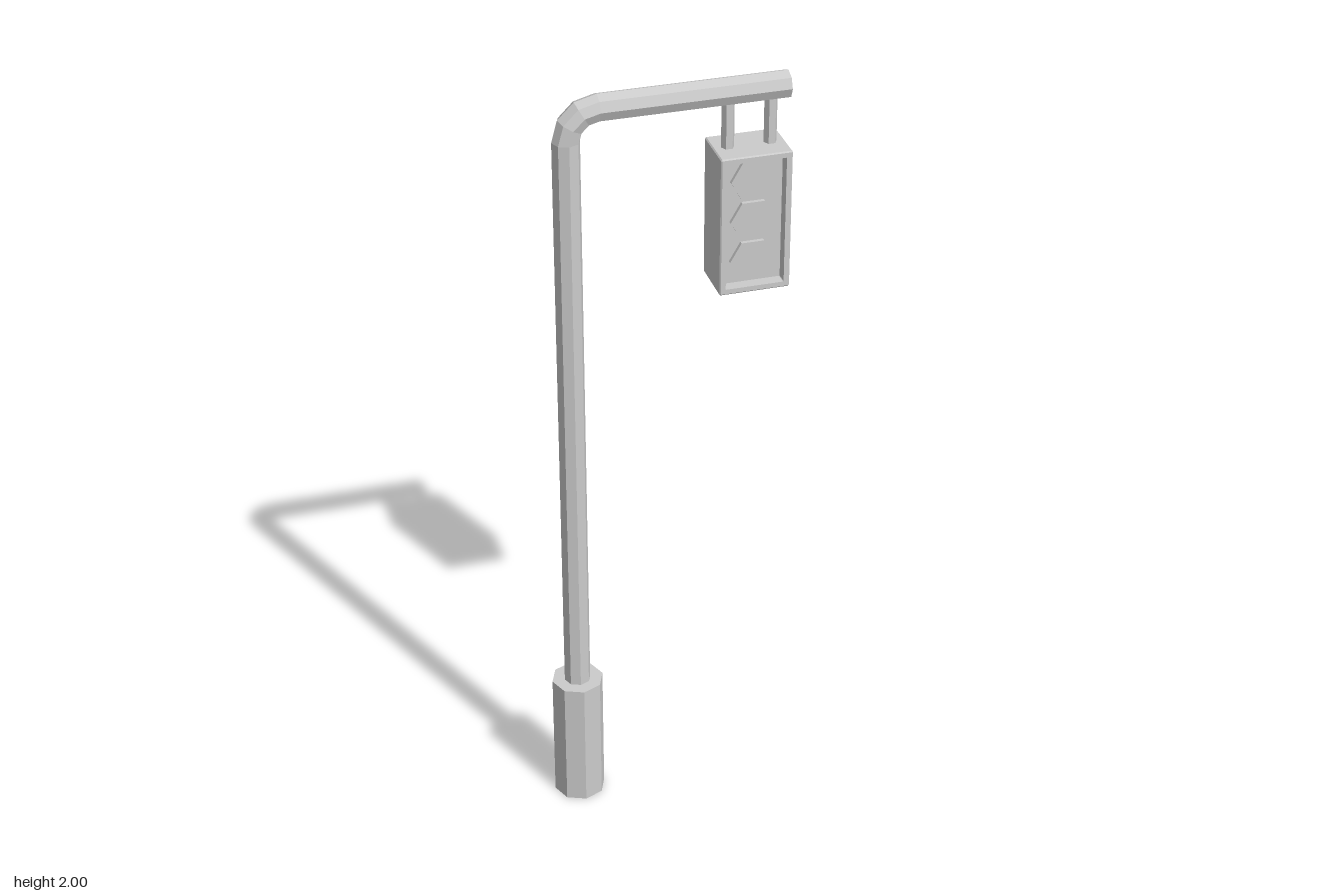
import * as THREE from 'three';

const material = new THREE.MeshStandardMaterial({ color: 0xcccccc, flatShading: true });
const openMaterial = new THREE.MeshStandardMaterial({ color: 0xcccccc, flatShading: true, side: THREE.DoubleSide });

// Skin rings of points; each ring runs counter-clockwise about the direction of travel
function loft(rings, capStart = true) {
  const pos = [];
  const tri = (...pts) => pts.forEach((p) => pos.push(p.x, p.y, p.z));
  const n = rings[0].length;
  for (let i = 0; i < rings.length - 1; i++) {
    for (let j = 0; j < n; j++) {
      const k = (j + 1) % n;
      const [a, b, c, d] = [rings[i][j], rings[i][k], rings[i + 1][k], rings[i + 1][j]];
      tri(a, b, c);
      tri(a, c, d);
    }
  }
  const first = rings[0], last = rings[rings.length - 1];
  for (let j = 1; j < n - 1; j++) {
    if (capStart) tri(first[0], first[j + 1], first[j]);
    tri(last[0], last[j], last[j + 1]);
  }
  const geometry = new THREE.BufferGeometry();
  geometry.setAttribute('position', new THREE.Float32BufferAttribute(pos, 3));
  geometry.computeVertexNormals();
  return geometry;
}

// Octagon around (x, y, 0), tipped by angle from upright towards +x
function octagon(x, y, radius, angle = 0) {
  return Array.from({ length: 8 }, (_, j) => {
    const t = (j * Math.PI) / 4;
    const u = radius * Math.cos(t);
    return new THREE.Vector3(x - u * Math.cos(angle), y + u * Math.sin(angle), radius * Math.sin(t));
  });
}

// Rectangle with cut corners at depth z
function cutRectangle(halfW, halfH, cut, z) {
  const w = halfW - cut, h = halfH - cut;
  return [[halfW, -h], [halfW, h], [w, halfH], [-w, halfH], [-halfW, h], [-halfW, -h], [-w, -halfH], [w, -halfH]]
    .map(([x, y]) => new THREE.Vector3(x, y, z));
}

export function createModel() {
  const model = new THREE.Group();
  model.name = 'trafficLight';
  const add = (name, geometry, parent = model, mat = material) => {
    const mesh = new THREE.Mesh(geometry, mat);
    mesh.name = name;
    parent.add(mesh);
    return mesh;
  };

  // Base sleeve, open underneath
  const poleX = -0.233, baseTop = 0.355;
  add('base', loft([octagon(poleX, 0, 0.067), octagon(poleX, baseTop, 0.067)], false), model, openMaterial);

  // Pole, bend and arm in one skin
  const r = 0.034, armY = 2 - r, bend = 0.075, steps = 3;
  const rings = [octagon(poleX, baseTop, r)];
  for (let i = 0; i <= steps; i++) {
    const a = (i / steps) * Math.PI / 2;
    rings.push(octagon(poleX + bend * (1 - Math.cos(a)), armY - bend * (1 - Math.sin(a)), r, a));
  }
  rings.push(octagon(0.3, armY, r, Math.PI / 2));
  add('poleAndArm', loft(rings));

  // Signal head
  const head = new THREE.Group();
  head.name = 'signalHead';
  head.position.set(0.207, 1.645, 0);
  model.add(head);

  // Housing with softened edges and a recessed front
  const W = 0.0875, H = 0.179, D = 0.065, e = 0.003, rim = 0.015;
  add('housing', loft([
    cutRectangle(W - e, H - e, 0.001, -D),
    cutRectangle(W, H, e, -D + e),
    cutRectangle(W, H, e, D - e),
    cutRectangle(W - e, H - e, 0.001, D),
    cutRectangle(W - rim, H - rim, 0.001, D),
    cutRectangle(W - rim, H - rim, 0.001, D - 0.03),
  ]), head);

  // Three hexagonal lamps
  for (let i = -1; i <= 1; i++) {
    const lamp = new THREE.CylinderGeometry(0.056, 0.056, 0.02, 6);
    lamp.rotateY(Math.PI / 2).rotateX(Math.PI / 2);
    add('lamp', lamp, head).position.set(0, i * 0.105, D - 0.03);
  }

  // Hangers between arm and housing
  for (const side of [-1, 1]) {
    const hanger = new THREE.CylinderGeometry(0.016, 0.016, 0.15, 6).rotateY(Math.PI / 2);
    add('hanger', hanger, head).position.set(side * 0.052, H + 0.07, 0);
  }
  return model;
}
